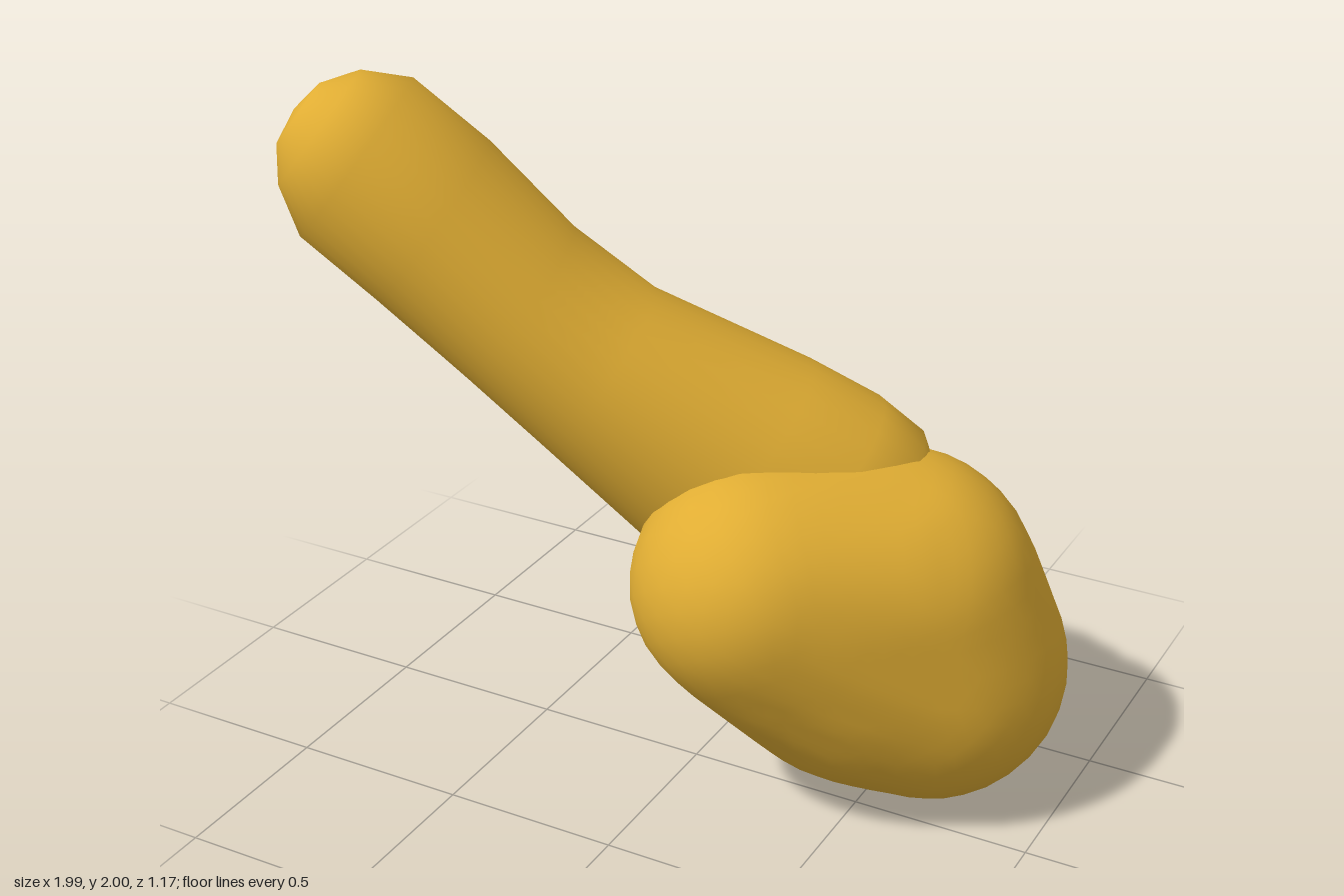
import * as THREE from 'three';
import { mergeVertices } from 'three/addons/utils/BufferGeometryUtils.js';

const V = (x, y, z) => new THREE.Vector3(x, y, z);

// Unit directions spread evenly over a sphere, as a welded geometry
function ballGeometry(detail) {
  const g = new THREE.IcosahedronGeometry(1, detail);
  g.deleteAttribute('normal');
  g.deleteAttribute('uv');
  return mergeVertices(g, 1e-4);
}

// Smooth skin stretched around a set of balls
function skinAround(balls, centre) {
  const g = ballGeometry(9);
  const p = g.attributes.position;
  const dirs = [];
  for (let i = 0; i < p.count; i++) dirs.push(V().fromBufferAttribute(p, i).normalize());
  const reach = dirs.map(n => Math.max(...balls.map(b => b.c.clone().sub(centre).dot(n) + b.r)));
  dirs.forEach((d, i) => {
    let r = Infinity;
    dirs.forEach((n, k) => {
      const c = n.dot(d);
      if (c > 0.2) r = Math.min(r, reach[k] / c);
    });
    p.setXYZ(i, centre.x + d.x * r, centre.y + d.y * r, centre.z + d.z * r);
  });
  g.computeVertexNormals();
  return g;
}

// Loft along a straight axis; each section is [t, top, bottom, side, sideways shift]
function loft(start, end, sections, sides = 32) {
  const axis = end.clone().sub(start);
  const d = axis.clone().normalize();
  const n = V(-d.z, 0, d.x).normalize();
  const u = d.clone().cross(n).normalize();
  if (u.y < 0) u.negate();
  const pos = [], index = [];
  sections.forEach(([t, top, bottom, side, shift]) => {
    const mid = (top + bottom) / 2, half = (top - bottom) / 2;
    for (let j = 0; j < sides; j++) {
      const a = (j / sides) * Math.PI * 2;
      const q = start.clone().addScaledVector(axis, t)
        .addScaledVector(n, shift + Math.cos(a) * side)
        .addScaledVector(u, mid + Math.sin(a) * half);
      pos.push(q.x, q.y, q.z);
    }
  });
  for (let i = 0; i < sections.length - 1; i++) {
    for (let j = 0; j < sides; j++) {
      const a = i * sides + j, b = i * sides + (j + 1) % sides;
      index.push(a, a + sides, b, b, a + sides, b + sides);
    }
  }
  const g = new THREE.BufferGeometry();
  g.setAttribute('position', new THREE.Float32BufferAttribute(pos, 3));
  g.setIndex(index);
  const welded = mergeVertices(g, 1e-4);
  welded.computeVertexNormals();
  return welded;
}

export function createModel() {
  const group = new THREE.Group();
  const golden = new THREE.MeshStandardMaterial({ color: 0xe0ad33 });
  golden.name = 'golden';

  const add = (name, geometry) => {
    const mesh = new THREE.Mesh(geometry, golden);
    mesh.name = name;
    group.add(mesh);
  };

  // Long limb: rounded tip, slight waist, wider lower end
  add('limb', loft(V(-0.73, 1.73, 0.32), V(0.3, 0.88, -0.14), [
    [-0.2, 0, 0, 0, 0.01],
    [-0.19, 0.09, -0.1, 0.09, 0.01],
    [-0.145, 0.18, -0.18, 0.18, 0.015],
    [-0.06, 0.235, -0.265, 0.25, -0.005],
    [0.12, 0.21, -0.29, 0.275, -0.02],
    [0.34, 0.155, -0.32, 0.28, -0.015],
    [0.53, 0.15, -0.355, 0.285, -0.015],
    [0.85, 0.247, -0.42, 0.31, -0.022],
    [1.0, 0.28, -0.42, 0.305, -0.022],
    [1.1, 0.275, -0.36, 0.275, -0.02],
    [1.18, 0.2, -0.24, 0.18, -0.01],
    [1.205, 0, 0, 0, 0],
  ]));

  // Egg-shaped rounded head at the lower end
  add('head', skinAround([
    { c: V(0.26, 0.71, 0.16), r: 0.33 },
    { c: V(0.61, 0.38, -0.21), r: 0.38 },
    { c: V(0.53, 0.62, -0.15), r: 0.38 },
    { c: V(0.45, 0.48, -0.12), r: 0.42 },
  ], V(0.45, 0.54, -0.04)));

  return group;
}
